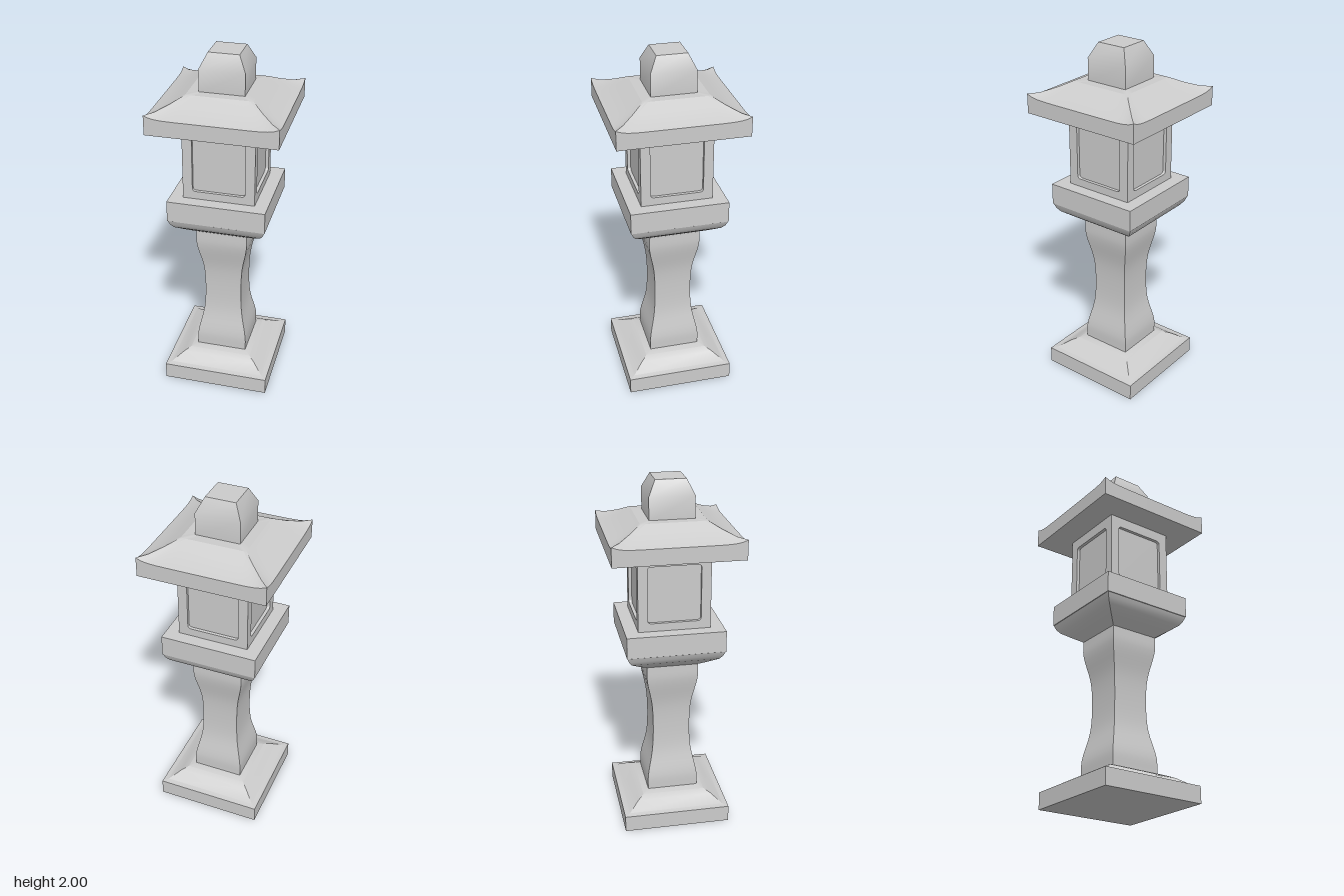
import * as THREE from 'three';
import { toCreasedNormals } from 'three/addons/utils/BufferGeometryUtils.js';

const stone = new THREE.MeshStandardMaterial({ color: 0xcccccc });

// Closed square solid from [halfWidth, y] rows, bottom to top.
// lift(u, row) raises points along each side, u running from -1 to 1.
function squareLoft(name, rows, segments = 1, lift = () => 0) {
  const profile = [[0, rows[0][1]], ...rows, [0, rows[rows.length - 1][1]]];
  const positions = [];
  for (let side = 0; side < 4; side++) {
    const cos = Math.round(Math.cos(side * Math.PI / 2));
    const sin = Math.round(Math.sin(side * Math.PI / 2));
    const point = (u, row) => {
      const [half, y] = profile[row];
      const x = u * half;
      return [x * cos + half * sin, y + lift(u, row - 1), half * cos - x * sin];
    };
    for (let row = 0; row < profile.length - 1; row++) {
      for (let s = 0; s < segments; s++) {
        const u0 = -1 + 2 * s / segments, u1 = -1 + 2 * (s + 1) / segments;
        const a = point(u0, row), b = point(u1, row);
        const c = point(u1, row + 1), d = point(u0, row + 1);
        if (profile[row][0] > 0) positions.push(...a, ...b, ...c);
        if (profile[row + 1][0] > 0) positions.push(...a, ...c, ...d);
      }
    }
  }
  const geometry = new THREE.BufferGeometry();
  geometry.setAttribute('position', new THREE.Float32BufferAttribute(positions, 3));
  const mesh = new THREE.Mesh(toCreasedNormals(geometry, 0.5), stone);
  mesh.name = name;
  return mesh;
}

// Rounded rectangle, used for the window openings.
function roundedRect(path, w, h, r) {
  const x = w / 2, y = h / 2;
  path.moveTo(-x + r, -y);
  path.lineTo(x - r, -y).quadraticCurveTo(x, -y, x, -y + r);
  path.lineTo(x, y - r).quadraticCurveTo(x, y, x - r, y);
  path.lineTo(-x + r, y).quadraticCurveTo(-x, y, -x, y - r);
  path.lineTo(-x, -y + r).quadraticCurveTo(-x, -y, -x + r, -y);
  return path;
}

// Lamp chamber: solid core with a framed, recessed panel on each side.
function lampChamber() {
  const group = new THREE.Group();
  group.name = 'lampChamber';
  const bottom = 1.2, top = 1.63, half = 0.2, depth = 0.018;
  const middle = 1.405;
  const core = half - depth;
  group.add(squareLoft('recessedPanels', [[core, bottom], [core, top]]));

  const frame = new THREE.Shape([
    new THREE.Vector2(-half, bottom - middle), new THREE.Vector2(half, bottom - middle),
    new THREE.Vector2(half, top - middle), new THREE.Vector2(-half, top - middle),
  ]);
  frame.holes.push(roundedRect(new THREE.Path(), 0.293, 0.32, 0.02));
  const geometry = new THREE.ExtrudeGeometry(frame, { depth, bevelEnabled: false, curveSegments: 5 });
  geometry.translate(0, middle, core);
  for (let side = 0; side < 4; side++) {
    const mesh = new THREE.Mesh(geometry, stone);
    mesh.name = 'windowFrame';
    mesh.rotation.y = side * Math.PI / 2;
    group.add(mesh);
  }
  return group;
}

export function createModel() {
  const model = new THREE.Group();
  model.name = 'stoneLantern';

  model.add(squareLoft('base', [
    [0.305, 0], [0.305, 0.095], [0.275, 0.1], [0.215, 0.142], [0.18, 0.158], [0.145, 0.17],
  ]));

  // Waisted column, smoothed through a few widths
  const waist = new THREE.CatmullRomCurve3([
    [0.145, 0.17], [0.144, 0.255], [0.113, 0.415], [0.106, 0.565],
    [0.113, 0.71], [0.144, 0.875], [0.145, 0.96],
  ].map(([x, y]) => new THREE.Vector3(x, y, 0)));
  model.add(squareLoft('column', waist.getPoints(24).map(p => [p.x, p.y])));

  model.add(squareLoft('platform', [
    [0.145, 0.96], [0.2, 0.997], [0.243, 1.028], [0.26, 1.052], [0.27, 1.078],
    [0.273, 1.08], [0.273, 1.2],
  ]));

  model.add(lampChamber());

  // Roof with eaves turned up at the corners
  const cornerLift = [0, 0.021, 0.01, 0.003, 0, 0];
  model.add(squareLoft('roof', [
    [0.353, 1.625], [0.353, 1.713], [0.306, 1.729], [0.243, 1.76], [0.18, 1.795],
  ], 24, (u, row) => (cornerLift[row] || 0) * Math.abs(u) ** 9));

  model.add(squareLoft('finial', [[0.124, 1.79], [0.124, 1.918], [0.084, 2]]));
  return model;
}
